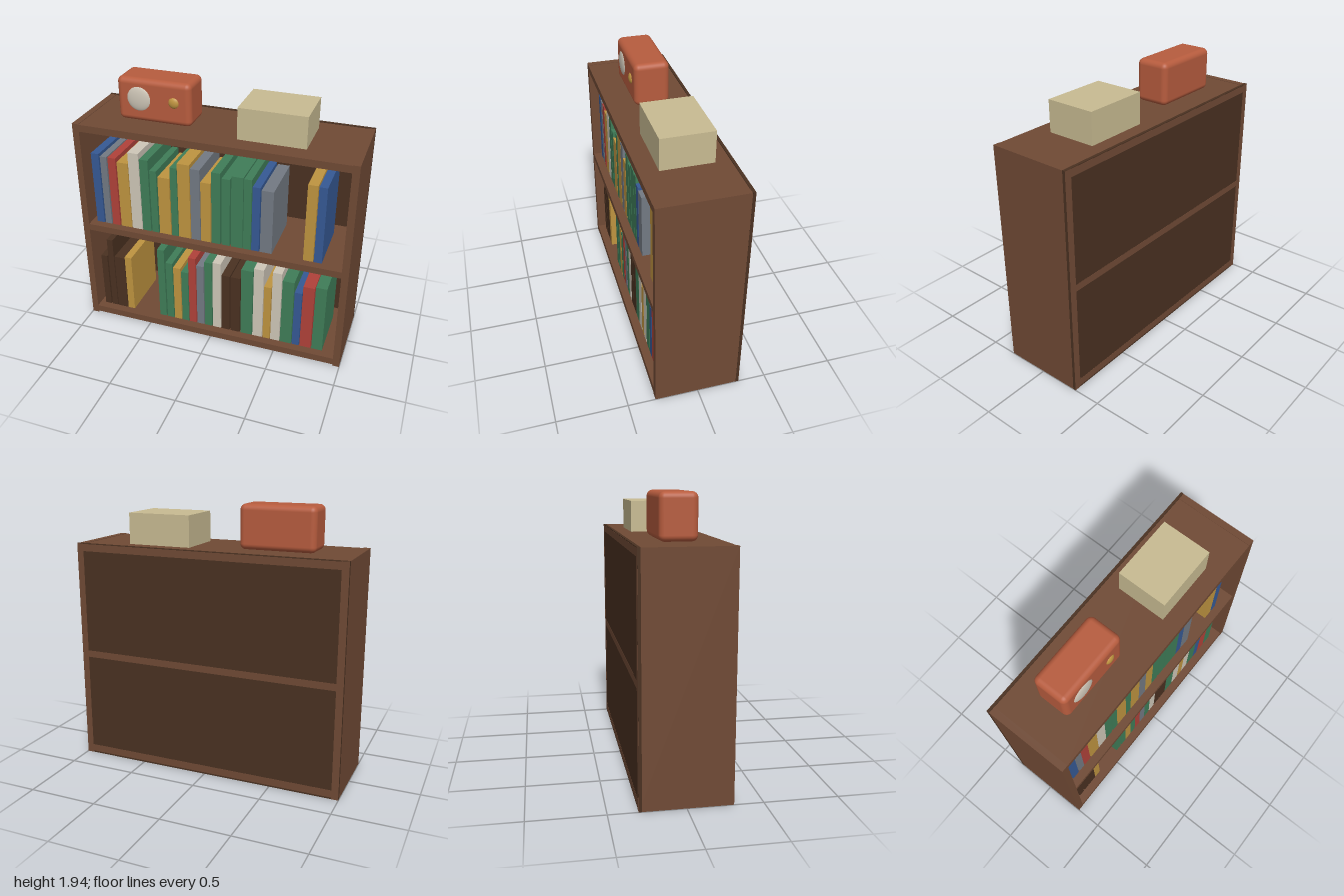
import * as THREE from 'three';
import { RoundedBoxGeometry } from 'three/addons/geometries/RoundedBoxGeometry.js';

const colours = {
  wood: 0x704a35, darkWood: 0x4a3121, blue: 0x365994, grey: 0x737a83, red: 0xb0423a,
  gold: 0xbf9440, cream: 0xcfc7b8, green: 0x3f7d58, terracotta: 0xb75c3e, card: 0xc8bb92,
};

// Books as [colour, left edge, right edge, top]
const upperBooks = [
  ['blue', -0.91, -0.85, 1.395], ['grey', -0.84, -0.79, 1.38], ['red', -0.78, -0.72, 1.38],
  ['gold', -0.71, -0.625, 1.355], ['cream', -0.62, -0.54, 1.445], ['green', -0.535, -0.47, 1.405],
  ['green', -0.46, -0.41, 1.33], ['gold', -0.4, -0.312, 1.29], ['green', -0.305, -0.255, 1.38],
  ['gold', -0.25, -0.16, 1.42], ['grey', -0.155, -0.085, 1.395], ['gold', -0.08, -0.007, 1.305],
  ['green', 0, 0.065, 1.395], ['green', 0.075, 0.135, 1.36], ['green', 0.145, 0.23, 1.39],
  ['green', 0.235, 0.29, 1.385], ['blue', 0.295, 0.35, 1.335], ['grey', 0.358, 0.444, 1.32],
  ['gold', 0.668, 0.737, 1.42], ['blue', 0.743, 0.8, 1.415],
];
const lowerBooks = [
  ['darkWood', -0.91, -0.86, 0.52], ['darkWood', -0.85, -0.803, 0.675], ['darkWood', -0.797, -0.715, 0.53],
  ['gold', -0.71, -0.655, 0.545], ['green', -0.435, -0.38, 0.675], ['green', -0.37, -0.317, 0.57],
  ['gold', -0.31, -0.252, 0.54], ['green', -0.246, -0.192, 0.515], ['red', -0.187, -0.13, 0.655],
  ['grey', -0.123, -0.067, 0.6], ['green', -0.06, -0.002, 0.645], ['cream', 0.004, 0.068, 0.655],
  ['darkWood', 0.074, 0.138, 0.56], ['darkWood', 0.145, 0.218, 0.56], ['green', 0.225, 0.314, 0.645],
  ['cream', 0.32, 0.394, 0.675], ['gold', 0.4, 0.454, 0.535], ['cream', 0.46, 0.528, 0.675],
  ['green', 0.534, 0.62, 0.62], ['blue', 0.626, 0.68, 0.54], ['red', 0.685, 0.768, 0.605],
  ['green', 0.775, 0.855, 0.62],
];

export function createModel() {
  const mats = {};
  for (const [name, color] of Object.entries(colours)) {
    mats[name] = new THREE.MeshStandardMaterial({ color });
    mats[name].name = name;
  }

  function add(parent, name, geometry, colour, x = 0, y = 0, z = 0) {
    const mesh = new THREE.Mesh(geometry, mats[colour]);
    mesh.name = name;
    mesh.position.set(x, y, z);
    parent.add(mesh);
    return mesh;
  }
  // Box given by its limits on each axis
  function block(parent, name, colour, [x0, x1], [y0, y1], [z0, z1]) {
    return add(parent, name, new THREE.BoxGeometry(x1 - x0, y1 - y0, z1 - z0), colour,
      (x0 + x1) / 2, (y0 + y1) / 2, (z0 + z1) / 2);
  }
  function group(parent, name) {
    const g = new THREE.Group();
    g.name = name;
    parent.add(g);
    return g;
  }

  const model = new THREE.Group();
  model.name = 'bookcaseWithRadio';

  // Case: boards show at the back, the back panel's edges show at the sides and top
  const bookcase = group(model, 'bookcase');
  const depth = [-0.305, 0.305];
  block(bookcase, 'leftSide', 'wood', [0.95, 0.999], [0, 1.635], depth);
  block(bookcase, 'rightSide', 'wood', [-0.999, -0.95], [0, 1.635], depth);
  block(bookcase, 'bottomBoard', 'wood', [-0.95, 0.95], [0.012, 0.065], depth);
  block(bookcase, 'middleShelf', 'wood', [-0.95, 0.95], [0.78, 0.83], depth);
  block(bookcase, 'topBoard', 'wood', [-0.95, 0.95], [1.58, 1.632], depth);
  block(bookcase, 'backPanel', 'darkWood', [-1, 1], [0, 1.637], [-0.304, -0.284]);

  // Two rows of books
  for (const [name, base, row] of [['upperBooks', 0.83, upperBooks], ['lowerBooks', 0.065, lowerBooks]]) {
    const books = group(model, name);
    for (const [colour, x0, x1, top] of row) {
      block(books, 'book', colour, [x0, x1], [base, top], [-0.17, 0.245]);
    }
  }

  // Radio with a domed speaker and a knob
  const radio = group(model, 'radio');
  radio.position.set(-0.457, 1.79, -0.003);
  add(radio, 'radioBody', new RoundedBoxGeometry(0.54, 0.308, 0.25, 4, 0.04), 'terracotta');
  for (const [name, colour, x, r] of [['speaker', 'cream', -0.108, 0.09], ['knob', 'gold', 0.148, 0.04]]) {
    const dome = add(radio, name, new THREE.SphereGeometry(r, 32, 20), colour, x, 0.013, 0.118);
    dome.scale.z = 0.022 / r;
  }

  // Storage box
  block(model, 'storageBox', 'card', [0.16, 0.63], [1.634, 1.857], [-0.183, 0.177]);

  return model;
}
